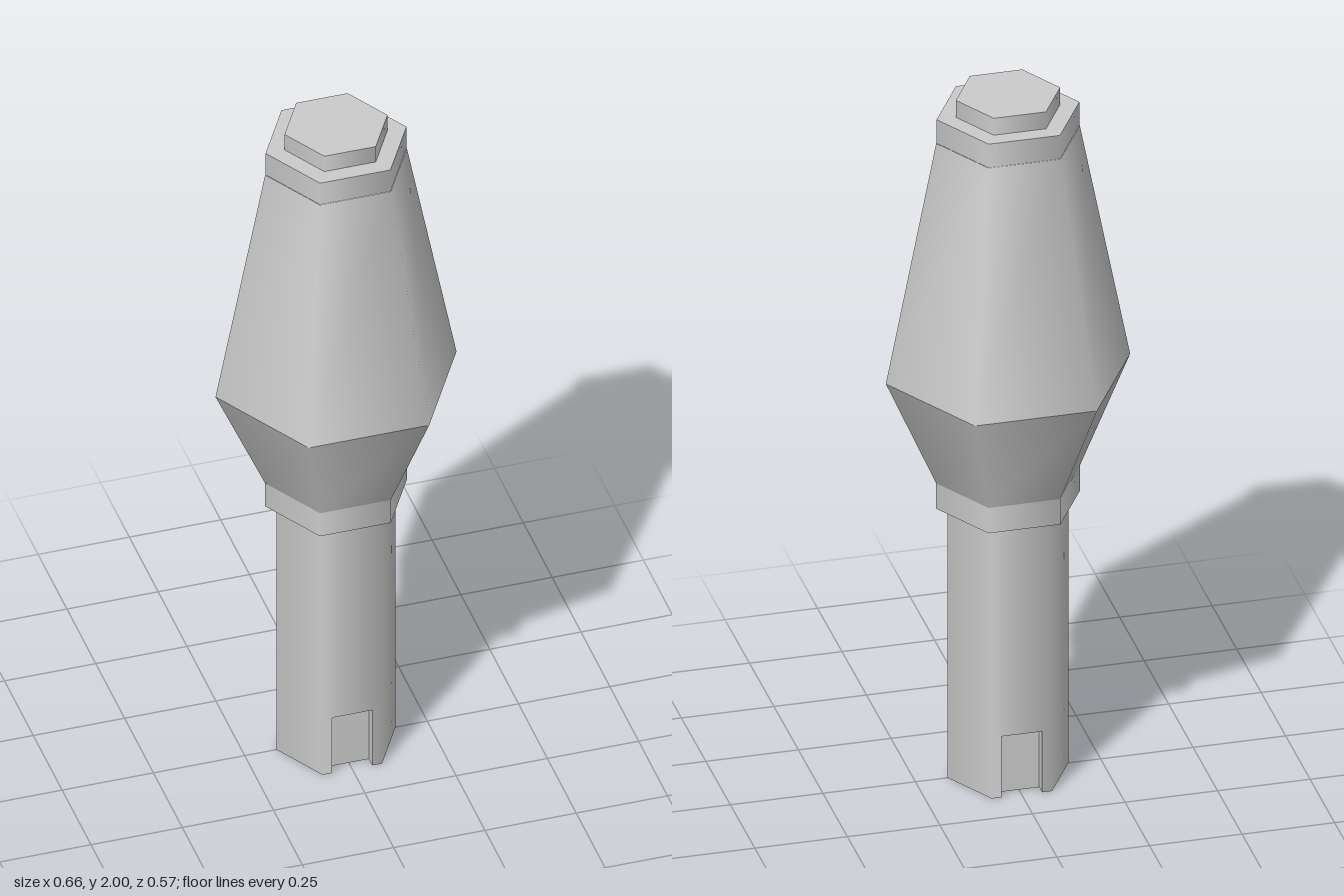
import * as THREE from 'three';

const material = new THREE.MeshStandardMaterial({ color: 0xcccccc });
const SHAFT_R = 0.163;
const APOTHEM = SHAFT_R * Math.cos(Math.PI / 6);
const SLOT = { halfWidth: 0.055, height: 0.18, depth: 0.03 };

// Six-sided section with corners on the x axis
function hexSection(name, y0, y1, r0, r1, open = false) {
  const geo = new THREE.CylinderGeometry(r1, r0, y1 - y0, 6, 1, open, Math.PI / 2);
  const mesh = new THREE.Mesh(geo, material);
  mesh.name = name;
  mesh.position.y = (y0 + y1) / 2;
  return mesh;
}

// Bottom of the shaft: hexagon with a shallow slot in the front and back faces
function slottedFoot() {
  const { halfWidth: w, height, depth } = SLOT;
  const a = APOTHEM, c = SHAFT_R / 2;
  const half = [[SHAFT_R, 0], [c, a], [w, a], [w, a - depth], [-w, a - depth], [-w, a], [-c, a]];
  const outline = [...half, ...half.map(([x, y]) => [-x, -y])];
  const shape = new THREE.Shape(outline.map(([x, y]) => new THREE.Vector2(x, y)));
  const geo = new THREE.ExtrudeGeometry(shape, { depth: height, bevelEnabled: false });
  geo.rotateX(-Math.PI / 2);

  // Outer faces share the shaft's soft radial shading; slot walls stay flat
  const pos = geo.attributes.position, nor = geo.attributes.normal;
  const p = new THREE.Vector3(), n = new THREE.Vector3();
  for (let i = 0; i < pos.count; i++) {
    p.fromBufferAttribute(pos, i).setY(0);
    n.fromBufferAttribute(nor, i);
    if (Math.abs(n.y) < 0.5 && Math.abs(n.dot(p) - APOTHEM) < 1e-3) {
      p.normalize();
      nor.setXYZ(i, p.x, 0, p.z);
    }
  }
  const mesh = new THREE.Mesh(geo, material);
  mesh.name = 'slottedFoot';
  return mesh;
}

export function createModel() {
  const model = new THREE.Group();
  model.name = 'hexagonalHandleTool';
  model.add(
    slottedFoot(),
    hexSection('shaft', SLOT.height, 0.8, SHAFT_R, SHAFT_R),
    hexSection('lowerCollar', 0.8, 0.875, 0.194, 0.194),
    hexSection('lowerTaper', 0.875, 1.187, 0.194, 0.33, true),
    hexSection('upperTaper', 1.187, 1.88, 0.33, 0.194, true),
    hexSection('upperCollar', 1.88, 1.95, 0.193, 0.193),
    hexSection('topCap', 1.95, 2, 0.141, 0.141),
  );
  return model;
}
